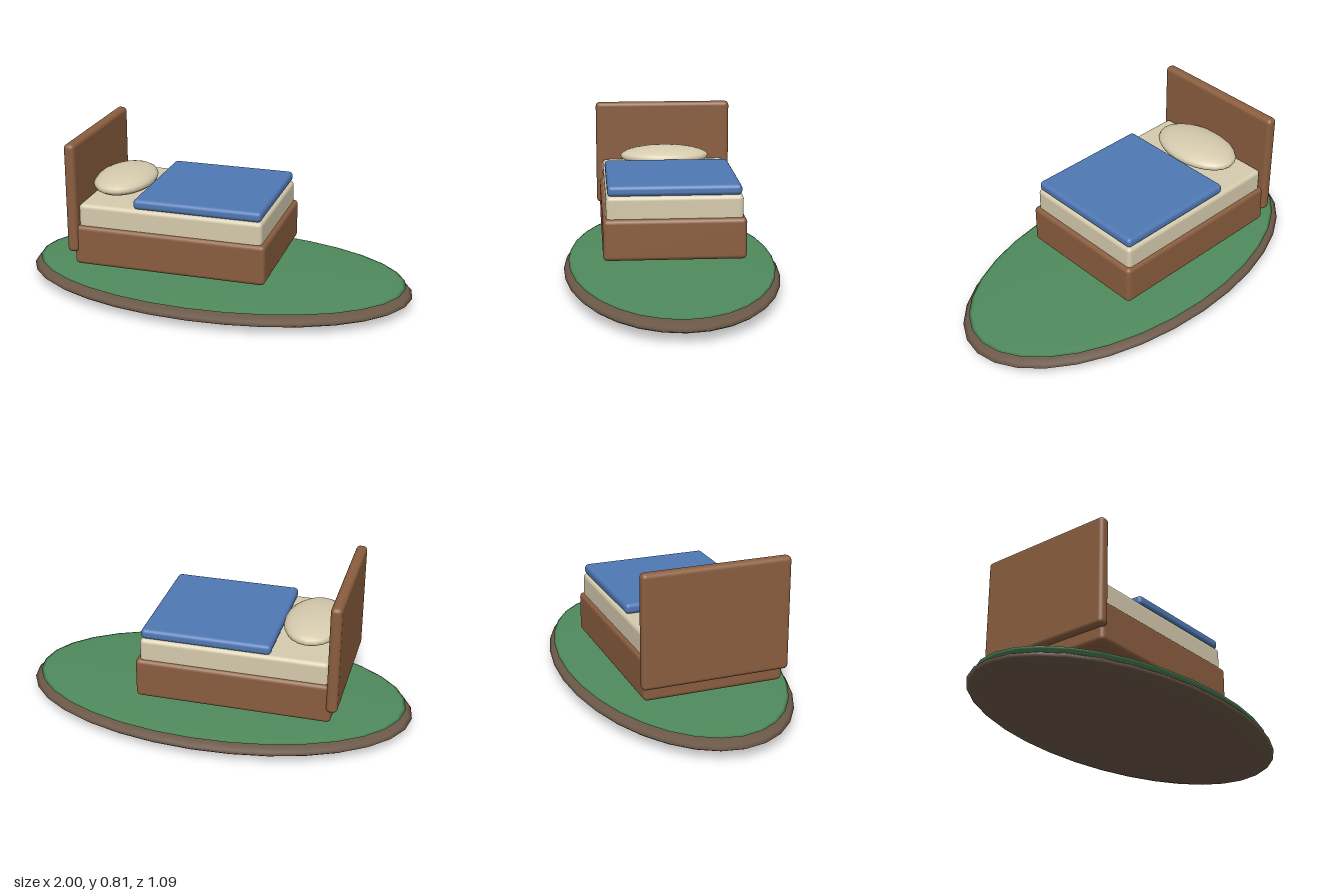
import * as THREE from 'three';
import { RoundedBoxGeometry } from 'three/addons/geometries/RoundedBoxGeometry.js';

const paint = (name, color) => {
  const m = new THREE.MeshStandardMaterial({ color });
  m.name = name;
  return m;
};

export function createModel() {
  const wood = paint('wood', 0x8b5e3f);
  const linen = paint('linen', 0xd6cbae);
  const blue = paint('blue cloth', 0x4f78b4);
  const grass = paint('grass', 0x4f8a5c);
  const earth = paint('earth', 0x6b5848);

  const group = new THREE.Group();
  group.name = 'bedOnIsland';

  const add = (name, geometry, material) => {
    const mesh = new THREE.Mesh(geometry, material);
    mesh.name = name;
    group.add(mesh);
    return mesh;
  };

  // Rounded box given by its x and y extents and half depth
  const slab = (name, x0, x1, y0, y1, halfZ, radius, material) =>
    add(name, new RoundedBoxGeometry(x1 - x0, y1 - y0, halfZ * 2, 3, radius), material)
      .position.set((x0 + x1) / 2, (y0 + y1) / 2, 0);

  // Stretched sphere given by its centre and radii
  const ellipsoid = (name, x, y, rx, ry, rz, segments, material) => {
    const geometry = new THREE.SphereGeometry(1, segments, segments / 2);
    geometry.scale(rx, ry, rz);
    add(name, geometry, material).position.set(x, y, 0);
  };

  // Ground
  ellipsoid('earthDisc', 0, 0.057, 1, 0.057, 0.545, 32, earth);
  ellipsoid('grassDisc', 0, 0.103, 0.966, 0.02, 0.521, 32, grass);

  // Bed
  slab('bedFrame', -0.643, 0.334, 0.184, 0.389, 0.349, 0.022, wood);
  slab('headboard', -0.675, -0.62, 0.251, 0.81, 0.366, 0.022, wood);
  slab('mattress', -0.621, 0.314, 0.34, 0.499, 0.333, 0.022, linen);
  slab('blanket', -0.338, 0.308, 0.497, 0.549, 0.326, 0.02, blue);
  ellipsoid('pillow', -0.492, 0.541, 0.152, 0.053, 0.238, 24, linen);

  return group;
}
